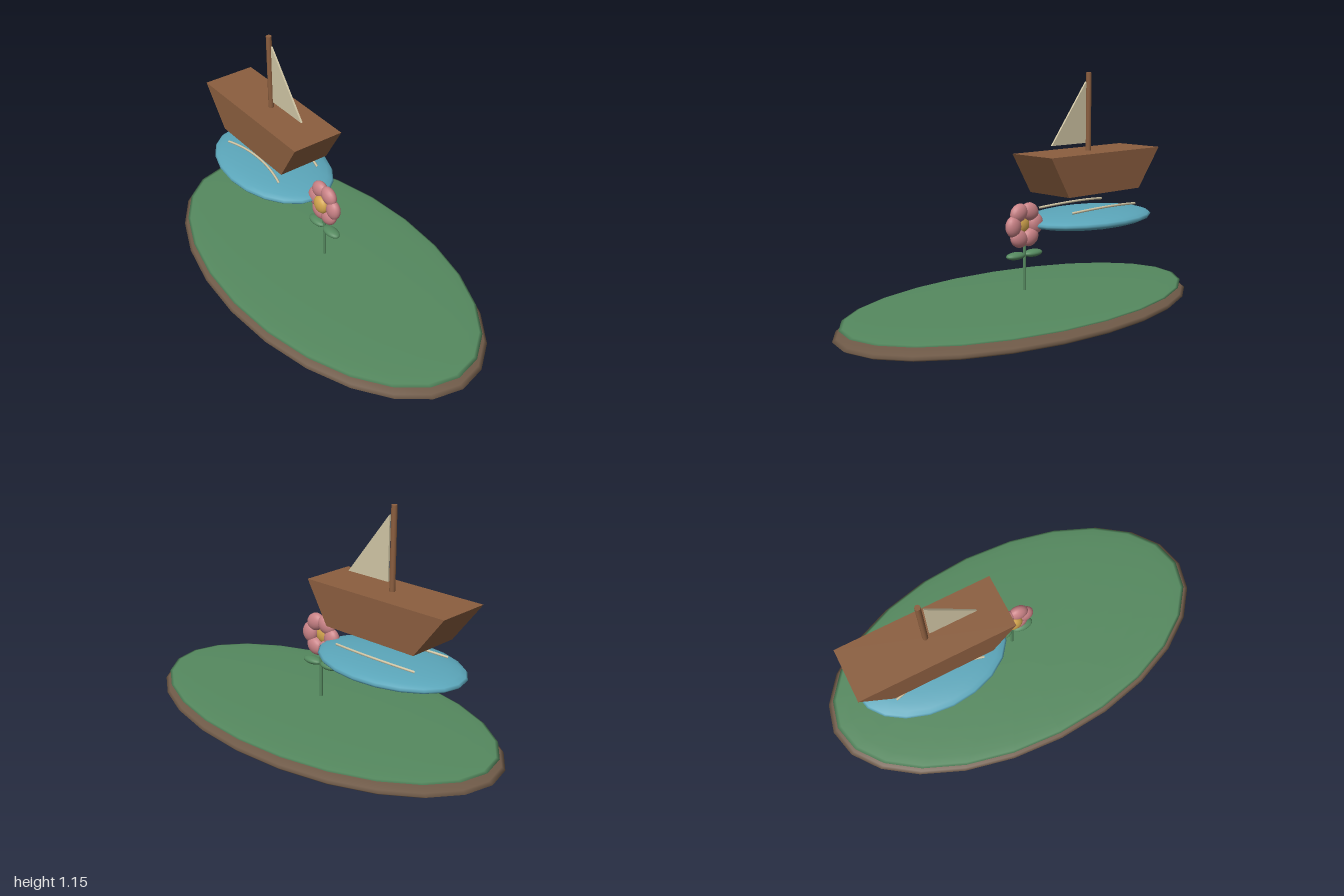
import * as THREE from 'three';

const mat = (name, color, side = THREE.FrontSide) => {
  const m = new THREE.MeshStandardMaterial({ color, side });
  m.name = name;
  return m;
};

export function createModel() {
  const root = new THREE.Group();
  root.name = 'boatAndFlowerIsland';

  const soil = mat('soil brown', 0x6f5a48);
  const green = mat('leaf green', 0x55895f);
  const water = mat('water blue', 0x5ba6ba);
  const wood = mat('wood brown', 0x8b5e3f);
  const cream = mat('cream', 0xd2c7a6);
  const pink = mat('petal pink', 0xc98286);
  const gold = mat('gold', 0xd3a54e);

  const add = (parent, name, geo, material, x = 0, y = 0, z = 0) => {
    const mesh = new THREE.Mesh(geo, material);
    mesh.name = name;
    mesh.position.set(x, y, z);
    parent.add(mesh);
    return mesh;
  };
  const ellipsoid = (rx, ry, rz, w = 20, h = 14) =>
    new THREE.SphereGeometry(1, w, h).scale(rx, ry, rz);
  const group = (name, x = 0, y = 0, z = 0) => {
    const g = new THREE.Group();
    g.name = name;
    g.position.set(x, y, z);
    root.add(g);
    return g;
  };
  // Flat outline extruded evenly to both sides of z = 0
  const plate = (points, depth) => {
    const shape = new THREE.Shape(points.map(([x, y]) => new THREE.Vector2(x, y)));
    return new THREE.ExtrudeGeometry(shape, { depth, bevelEnabled: false })
      .translate(0, 0, -depth / 2);
  };

  // Island: soil disc with a grass cap
  const island = group('island');
  add(island, 'soil', ellipsoid(1, 0.055, 0.545, 24, 16), soil, 0, 0.06);
  add(island, 'grass', ellipsoid(0.97, 0.018, 0.527, 24, 16), green, 0, 0.104);

  // Pond with two curved ripples
  const pond = group('pond', -0.43, 0.445);
  add(pond, 'water', ellipsoid(0.38, 0.045, 0.25), water);
  for (const z of [0.117, -0.11]) {
    const curve = new THREE.QuadraticBezierCurve3(
      new THREE.Vector3(-0.225, 0.054, z),
      new THREE.Vector3(0, 0.08, z - 0.06),
      new THREE.Vector3(0.225, 0.054, z));
    add(pond, 'ripple', new THREE.TubeGeometry(curve, 16, 0.006, 6), cream);
  }

  // Boat: tapered hull, mast and triangular sail
  const boat = group('boat', -0.428, 0.58);
  add(boat, 'hull', plate([[-0.232, 0], [0.265, 0], [0.382, 0.195], [-0.382, 0.195]], 0.264), wood);
  add(boat, 'mast', new THREE.CylinderGeometry(0.0135, 0.0135, 0.39, 10), wood, 0, 0.38);
  add(boat, 'sail', plate([[0.022, 0.233], [0.253, 0.233], [0.022, 0.53]], 0.009), cream);

  // Flower: stem, two leaves, ring of petals and a centre
  const flower = group('flower');
  add(flower, 'stem', new THREE.CylinderGeometry(0.008, 0.008, 0.27, 10), green, 0, 0.28);
  for (const side of [-1, 1]) {
    add(flower, 'leaf', ellipsoid(0.055, 0.018, 0.03), green, side * 0.055, 0.315);
  }
  for (let i = 0; i < 6; i++) {
    const a = i * Math.PI / 3;
    const petal = add(flower, 'petal', ellipsoid(0.042, 0.05, 0.03), pink,
      Math.cos(a) * 0.07, 0.455 + Math.sin(a) * 0.07);
    petal.rotation.z = a;
  }
  add(flower, 'flowerCentre', ellipsoid(0.045, 0.045, 0.027), gold, 0, 0.455, 0.02);

  return root;
}
